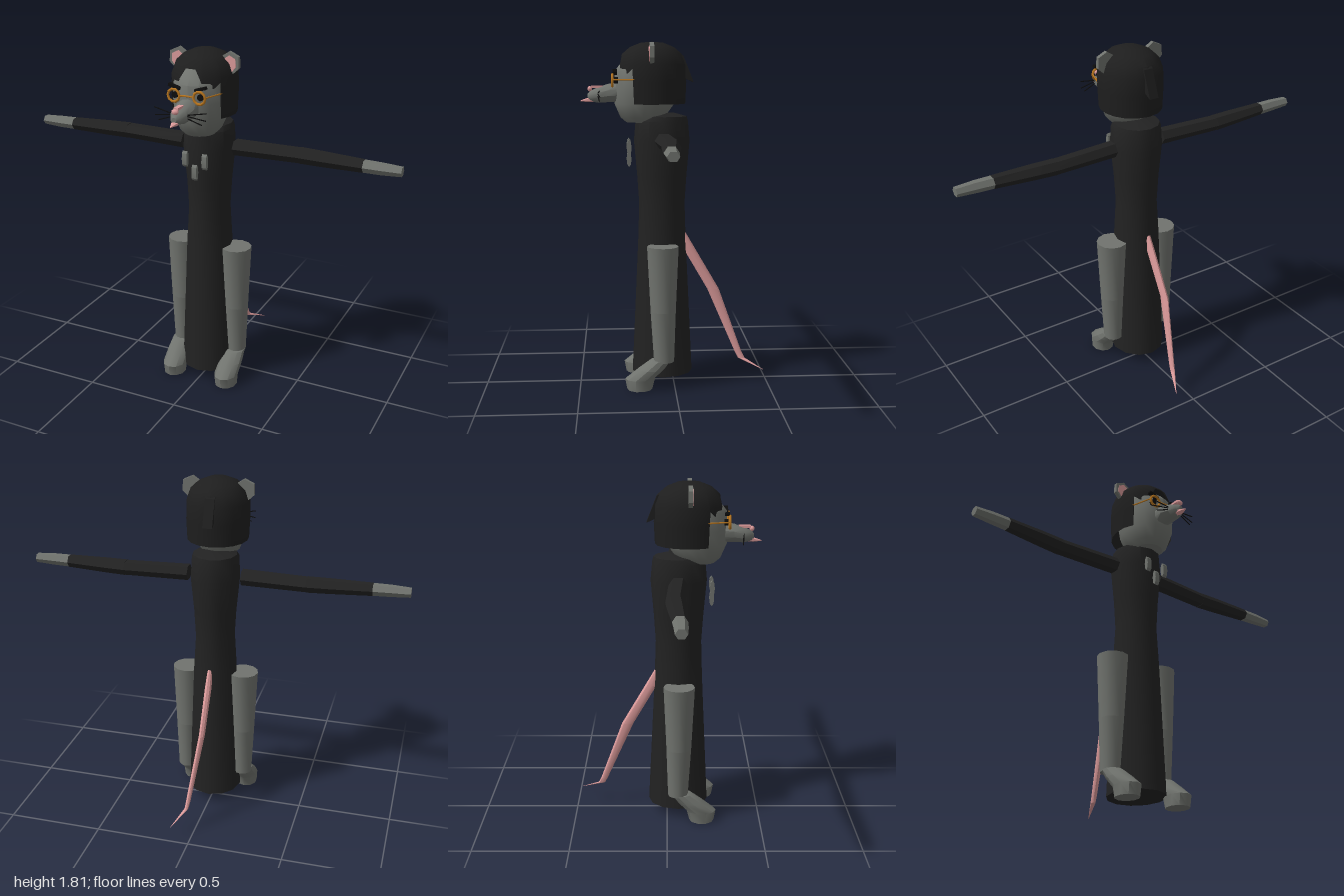
import * as THREE from 'three';
import { toCreasedNormals } from 'three/addons/utils/BufferGeometryUtils.js';

const mat = (name, color, side = THREE.FrontSide) => {
  const m = new THREE.MeshStandardMaterial({ color, side });
  m.name = name;
  return m;
};

// Closed solid through horizontal elliptical rings [y, rx, rz, z, x], bottom to top
function loft(rings, n = 12, crease = 0.7) {
  const end = (r) => [r[0], 0, 0, r[3], r[4]];
  const all = [end(rings[0]), ...rings, end(rings[rings.length - 1])];
  const pos = [], idx = [];
  for (const [y, rx, rz, z = 0, x = 0] of all)
    for (let j = 0; j < n; j++) {
      const t = (j / n) * Math.PI * 2;
      pos.push(x + rx * Math.sin(t), y, z + rz * Math.cos(t));
    }
  for (let i = 0; i < all.length - 1; i++)
    for (let j = 0; j < n; j++) {
      const a = i * n + j, b = i * n + ((j + 1) % n);
      if (all[i][1] > 0) idx.push(a, b, a + n);
      if (all[i + 1][1] > 0) idx.push(b, b + n, a + n);
    }
  const g = new THREE.BufferGeometry();
  g.setAttribute('position', new THREE.Float32BufferAttribute(pos, 3));
  g.setIndex(idx);
  return toCreasedNormals(g, crease);
}

// Flat outline with thickness, starting at z = 0
function plate(points, depth) {
  const shape = new THREE.Shape(points.map(([x, y]) => new THREE.Vector2(x, y)));
  return new THREE.ExtrudeGeometry(shape, { depth, bevelEnabled: false });
}

// Hair shell whose lower edge height changes with the angle from the front
function hairShell() {
  const edge = [[0, 1.735], [10, 1.735], [20, 1.685], [24, 1.645], [44, 1.645], [54, 1.67], [56, 1.49],
    [75, 1.49], [95, 1.49], [115, 1.49], [135, 1.49], [157, 1.49], [180, 1.49]];
  const full = [...edge, ...edge.slice(1, -1).reverse().map(([a, y]) => [360 - a, y]), [360, 1.735]];
  const profile = [[1.49, 0.97], [1.6, 1], [1.69, 0.99], [1.745, 0.87], [1.78, 0.64], [1.802, 0.33], [1.807, 0]];
  const pos = [], idx = [], m = profile.length;
  const radius = (y) => {
    const k = Math.max(1, profile.findIndex((p) => p[0] >= y));
    const [a, b] = [profile[k - 1], profile[k]];
    return a[1] + (b[1] - a[1]) * (y - a[0]) / (b[0] - a[0]);
  };
  full.forEach(([deg, low], j) => {
    const t = THREE.MathUtils.degToRad(deg);
    for (const [py] of profile) {
      const y = Math.max(py, low), r = radius(y);
      pos.push(0.163 * r * Math.sin(t), y, 0.11 + 0.178 * r * Math.cos(t));
    }
    if (j) for (let i = 0; i < m - 1; i++) {
      const a = (j - 1) * m + i, b = j * m + i;
      idx.push(a, b, a + 1, b, b + 1, a + 1);
    }
  });
  const g = new THREE.BufferGeometry();
  g.setAttribute('position', new THREE.Float32BufferAttribute(pos, 3));
  g.setIndex(idx);
  return toCreasedNormals(g, 0.6);
}

export function createModel() {
  const model = new THREE.Group();
  const robe = mat('robe black', 0x222222);
  const hairMat = mat('hair black', 0x1e1e1e, THREE.DoubleSide);
  const fur = mat('grey fur', 0x70736e);
  const pink = mat('pink skin', 0xdb9a9a);
  const gold = mat('gold', 0xb9761f);
  const ink = mat('ink', 0x0d0d0d);
  const add = (name, geometry, material, x = 0, y = 0, z = 0) => {
    const mesh = new THREE.Mesh(geometry, material);
    mesh.name = name;
    mesh.position.set(x, y, z);
    model.add(mesh);
    return mesh;
  };
  const rod = (name, a, b, r, material) => add(name,
    new THREE.TubeGeometry(new THREE.LineCurve3(new THREE.Vector3(...a), new THREE.Vector3(...b)), 1, r, 5), material);

  // Long robe
  add('robe', loft([[0.055, 0.145, 0.16, 0.06], [0.78, 0.118, 0.126, 0.06], [0.97, 0.105, 0.12, 0.06],
    [1.12, 0.113, 0.13, 0.06], [1.3, 0.13, 0.146, 0.06], [1.4, 0.125, 0.137, 0.06],
    [1.425, 0.115, 0.12, 0.05], [1.442, 0.04, 0.05, 0.04]]), robe);

  // Chest clasps
  for (const [x, y] of [[-0.053, 1.268], [0.055, 1.265], [0, 1.202]]) {
    const g = new THREE.CylinderGeometry(1, 1, 0.026, 8).rotateZ(Math.PI / 2).scale(1, 0.041, 0.013);
    add('clasp', toCreasedNormals(g, 0.3), fur, x, y, 0.232);
  }

  // Head and snout
  add('head', loft([[1.395, 0.075, 0.075, 0.17], [1.42, 0.102, 0.115, 0.16], [1.49, 0.13, 0.155, 0.15],
    [1.57, 0.14, 0.162, 0.144], [1.66, 0.137, 0.158, 0.144], [1.69, 0.125, 0.135, 0.143], [1.73, 0.09, 0.1, 0.13]], 16), fur);
  add('snout', loft([[0.27, 0.056, 0.052, -1.55], [0.34, 0.056, 0.047, -1.545], [0.39, 0.047, 0.04, -1.535],
    [0.43, 0.027, 0.027, -1.53], [0.443, 0.012, 0.014, -1.528]], 10).rotateX(Math.PI / 2), fur);
  add('nose', new THREE.SphereGeometry(1, 8, 5).scale(0.02, 0.014, 0.013), pink, 0, 1.567, 0.432);
  add('nose bridge', new THREE.BoxGeometry(0.024, 0.012, 0.06), pink, 0, 1.578, 0.395);
  add('tongue', loft([[0.4, 0.02, 0.012, -1.512], [0.44, 0.018, 0.012, -1.51], [0.482, 0.002, 0.002, -1.505]], 6)
    .rotateX(Math.PI / 2), pink);

  // Hair with a tuft at the back
  add('hair', hairShell(), hairMat);
  add('hair tuft', plate([[0.02, 1.76], [0.052, 1.735], [0.105, 1.6], [0.05, 1.625]], 0.05)
    .translate(0, 0, -0.025).rotateY(Math.PI / 2), hairMat);

  for (const s of [1, -1]) {
    const mirrored = (pts) => pts.map(([x, y]) => [s * x, y]);

    // Ears
    add('ear', plate(mirrored([[0.1, 1.72], [0.15, 1.69], [0.187, 1.725], [0.184, 1.78], [0.135, 1.803], [0.1, 1.78]]), 0.022),
      fur, 0, 0, 0.105);
    add('inner ear', plate(mirrored([[0.112, 1.725], [0.15, 1.703], [0.172, 1.73], [0.17, 1.768], [0.137, 1.785], [0.112, 1.768]]), 0.005),
      pink, 0, 0, 0.126);

    // Eyes, round spectacles and brows
    add('spectacle rim', new THREE.TorusGeometry(0.031, 0.007, 6, 10), gold, s * 0.068, 1.611, 0.315);
    rod('spectacle bridge', [0, 1.615, 0.318], [s * 0.04, 1.613, 0.316], 0.005, gold);
    rod('spectacle arm', [s * 0.1, 1.615, 0.312], [s * 0.135, 1.615, 0.2], 0.004, gold);
    add('eye', new THREE.CylinderGeometry(0.016, 0.016, 0.02, 8).rotateX(Math.PI / 2), ink, s * 0.068, 1.611, 0.297);
    const brow = add('brow', new THREE.BoxGeometry(0.06, 0.014, 0.022), ink, s * 0.07, 1.652, 0.302);
    brow.rotation.z = s * 0.3;

    // Whiskers
    rod('whisker', [s * 0.04, 1.545, 0.39], [s * 0.138, 1.562, 0.378], 0.003, ink);
    rod('whisker', [s * 0.04, 1.54, 0.39], [s * 0.135, 1.525, 0.378], 0.003, ink);
    rod('whisker', [s * 0.04, 1.53, 0.39], [s * 0.115, 1.502, 0.38], 0.003, ink);

    // Sleeves and hands
    const y = -s * 1.305, turn = -s * Math.PI / 2;
    add('upper sleeve', loft([[0.142, 0.042, 0.049, 0.056, y], [0.483, 0.039, 0.047, 0.038, y]], 6, 0.3).rotateZ(turn), robe);
    add('lower sleeve', loft([[0.483, 0.041, 0.047, 0.038, y], [0.6, 0.039, 0.046, 0.045, y], [0.812, 0.033, 0.037, 0.057, y]], 6, 0.3)
      .rotateZ(turn), robe);
    add('hand', loft([[0.812, 0.032, 0.036, 0.057, y], [0.9, 0.031, 0.033, 0.06, y], [1, 0.025, 0.028, 0.06, y]], 6, 0.3)
      .rotateZ(turn), fur);

    // Legs and feet
    add('upper leg', loft([[0.42, 0.064, 0.066, 0.062, s * 0.157], [0.763, 0.082, 0.082, 0.063, s * 0.153]]), fur);
    add('lower leg', loft([[0.15, 0.05, 0.053, 0.058, s * 0.16], [0.42, 0.064, 0.066, 0.062, s * 0.157]]), fur);
    add('foot', loft([[0, 0.059, 0.066, 0.186, s * 0.155], [0.058, 0.062, 0.079, 0.184, s * 0.155],
      [0.11, 0.06, 0.072, 0.125, s * 0.157], [0.158, 0.052, 0.055, 0.075, s * 0.16]], 10), fur);
  }

  // Tail
  add('tail', loft([[0.072, 0.001, 0.001, -0.48, 0.1], [0.125, 0.01, 0.018, -0.365, 0.045], [0.16, 0.012, 0.018, -0.348, 0.04],
    [0.5, 0.016, 0.031, -0.214, 0], [0.72, 0.018, 0.031, -0.086, 0], [0.81, 0.012, 0.015, -0.05, 0]], 8), pink);

  return model;
}
